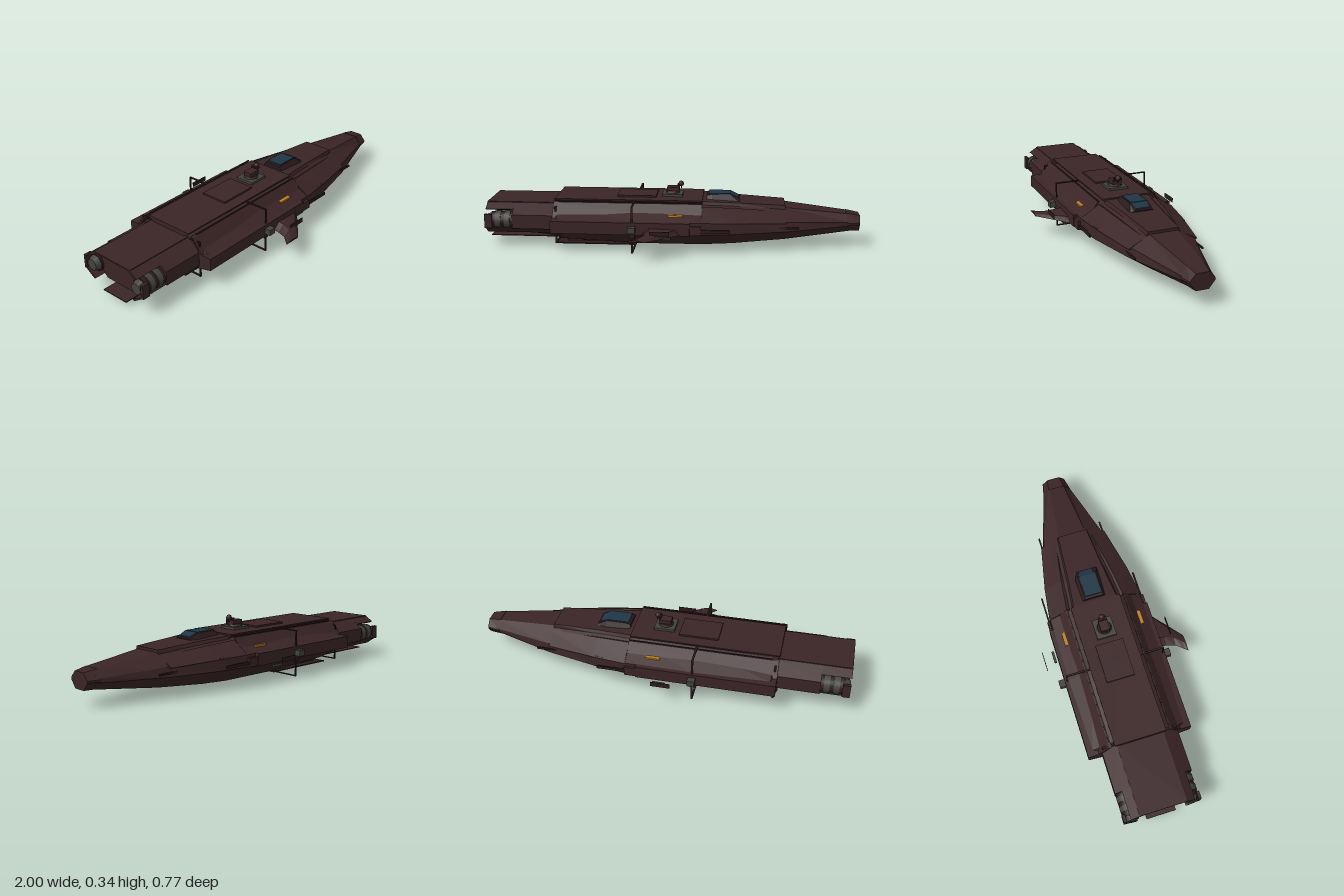
import * as THREE from 'three';

const mat = (name, color) => { const m = new THREE.MeshStandardMaterial({ color }); m.name = name; return m; };

export function createModel() {
  const hullMat = mat('hull brown', 0x3a2426);
  const trimMat = mat('dark trim', 0x2b1b1d);
  const greyMat = mat('machine grey', 0x42423d);
  const glassMat = mat('canopy blue', 0x203645);
  const orangeMat = mat('marker orange', 0xbf801c);
  hullMat.side = THREE.DoubleSide;

  const model = new THREE.Group();
  model.name = 'spacecraft';
  const ship = new THREE.Group();
  ship.name = 'ship';
  ship.position.z = -0.033;
  model.add(ship);

  const add = (name, geo, m, x = 0, y = 0, z = 0) => {
    const mesh = new THREE.Mesh(geo, m);
    mesh.name = name;
    mesh.position.set(x, y, z);
    ship.add(mesh);
    return mesh;
  };
  // box given by its extents
  const box = (name, m, x0, x1, y0, y1, z0, z1) => add(name,
    new THREE.BoxGeometry(x1 - x0, y1 - y0, z1 - z0), m, (x0 + x1) / 2, (y0 + y1) / 2, (z0 + z1) / 2);
  const pair = (name, m, x0, x1, y0, y1, z0, z1) => {
    box(name + 'Left', m, x0, x1, y0, y1, z0, z1);
    box(name + 'Right', m, x0, x1, y0, y1, -z1, -z0);
  };

  // flat-faced skin through sections { x, p: [[y, z], ...] }, x rising, points turning from +y to +z
  const loft = (sections) => {
    const v = [], n = sections[0].p.length;
    const pt = (s, i) => [sections[s].x, ...sections[s].p[i % n]];
    const tri = (a, b, c) => v.push(...a, ...b, ...c);
    for (let s = 0; s < sections.length - 1; s++)
      for (let i = 0; i < n; i++) {
        tri(pt(s, i), pt(s, i + 1), pt(s + 1, i + 1));
        tri(pt(s, i), pt(s + 1, i + 1), pt(s + 1, i));
      }
    const e = sections.length - 1;
    for (let i = 1; i < n - 1; i++) {
      tri(pt(0, 0), pt(0, i + 1), pt(0, i));
      tri(pt(e, 0), pt(e, i), pt(e, i + 1));
    }
    const g = new THREE.BufferGeometry();
    g.setAttribute('position', new THREE.Float32BufferAttribute(v, 3));
    g.computeVertexNormals();
    return g;
  };
  // symmetric section from half widths, top to bottom: [y, halfWidth]
  const sym = (x, ...half) => ({
    x, p: [...half, ...half.slice().reverse().map(([y, w]) => [y, -w])],
  });

  // Main hull: tail, wide body and tapering nose
  add('mainHull', loft([
    sym(-0.96, [0.225, 0.10], [0.18, 0.13], [0.12, 0.13], [0.08, 0.09]),
    sym(-0.63, [0.232, 0.12], [0.175, 0.19], [0.11, 0.19], [0.046, 0.1]),
    sym(-0.6, [0.235, 0.12], [0.175, 0.25], [0.11, 0.25], [0.032, 0.1]),
    sym(-0.2, [0.245, 0.13], [0.175, 0.262], [0.11, 0.262], [0.013, 0.1]),
    sym(0.16, [0.243, 0.12], [0.175, 0.258], [0.112, 0.262], [0.014, 0.1]),
    sym(0.32, [0.238, 0.1], [0.175, 0.235], [0.112, 0.24], [0.022, 0.095]),
    sym(0.6, [0.22, 0.075], [0.165, 0.17], [0.115, 0.18], [0.046, 0.075]),
    sym(0.95, [0.183, 0.042], [0.145, 0.072], [0.125, 0.072], [0.088, 0.035]),
  ]), hullMat);
  add('noseCap', loft([
    sym(0.93, [0.187, 0.045], [0.14, 0.08], [0.13, 0.08], [0.088, 0.04]),
    sym(1.0, [0.175, 0.035], [0.14, 0.065], [0.13, 0.065], [0.09, 0.033]),
  ]), hullMat);

  for (const s of [1, -1]) {
    const side = s > 0 ? 'Left' : 'Right';
    const strip = (pts) => {
      const p = pts.map(([y, z]) => [y, z * s]);
      return s > 0 ? p : p.reverse();
    };
    const prism = (name, x0, x1, pts) =>
      add(name + side, loft([{ x: x0, p: strip(pts) }, { x: x1, p: strip(pts) }]), hullMat);
    // Side armour boxes and sloping shoulder plates
    prism('sideArmour', -0.63, 0.1, [[0.18, 0.2], [0.175, 0.28], [0.11, 0.28], [0.09, 0.2]]);
    prism('shoulderPlate', -0.63, 0.16, [[0.255, 0.155], [0.25, 0.166], [0.175, 0.225], [0.175, 0.21]]);
    // Tail shells, cut open beside the engine bands
    prism('tailShoulder', -0.85, -0.62, [[0.234, 0.1], [0.234, 0.125], [0.185, 0.205], [0.178, 0.19]]);
    prism('tailShoulderEnd', -1, -0.85, [[0.234, 0.1], [0.234, 0.125], [0.207, 0.17], [0.2, 0.16]]);
    prism('tailLowerShell', -1, -0.62, [[0.115, 0.19], [0.115, 0.203], [0.072, 0.14], [0.08, 0.13]]);
    prism('tailSideShell', -0.85, -0.62, [[0.185, 0.19], [0.185, 0.206], [0.11, 0.206], [0.11, 0.19]]);
    prism('tailEndShell', -1, -0.96, [[0.185, 0.19], [0.185, 0.206], [0.11, 0.206], [0.11, 0.19]]);
    // Tapering plates along the forward flanks
    add('flankPlate' + side, loft([
      { x: 0.16, p: strip([[0.238, 0.16], [0.175, 0.262], [0.17, 0.25], [0.225, 0.13]]) },
      { x: 0.34, p: strip([[0.228, 0.14], [0.17, 0.238], [0.165, 0.22], [0.215, 0.11]]) },
      { x: 0.6, p: strip([[0.205, 0.1], [0.16, 0.186], [0.155, 0.17], [0.19, 0.08]]) },
    ]), hullMat);

    // Engines
    const engine = (name, r0, r1, len, m, x) => {
      add(name + side, new THREE.CylinderGeometry(r0, r1, len, 16), m, x, 0.145, s * 0.155).rotation.z = Math.PI / 2;
    };
    engine('engineBody', 0.046, 0.046, 0.34, trimMat, -0.8);
    for (const x of [-0.93, -0.88]) engine('engineBand', 0.05, 0.05, 0.03, greyMat, x);
    engine('engineNozzle', 0.03, 0.042, 0.03, greyMat, -0.982);
  }

  // Deck plates and keel
  add('topDeck', loft([
    sym(-0.63, [0.263, 0.138], [0.256, 0.138], [0.235, 0.1]),
    sym(0.16, [0.263, 0.138], [0.256, 0.138], [0.235, 0.1]),
  ]), hullMat);
  box('deckPanel', hullMat, -0.3, -0.09, 0.262, 0.272, -0.076, 0.076);
  box('tailTopPlate', hullMat, -1, -0.62, 0.23, 0.238, -0.125, 0.125);
  box('tailBottomPlate', hullMat, -1, -0.61, 0.033, 0.038, -0.08, 0.08);
  box('keelPlate', trimMat, -0.63, -0.2, 0.003, 0.009, -0.106, 0.106);
  box('keelSpine', hullMat, -0.58, 0.2, 0.012, 0.03, -0.07, 0.07);
  add('forwardDeck', loft([
    sym(0.16, [0.256, 0.12], [0.235, 0.13]),
    sym(0.35, [0.247, 0.1], [0.228, 0.11]),
    sym(0.6, [0.234, 0.082], [0.205, 0.09]),
  ]), hullMat);

  // Side rails
  pair('sideRail', trimMat, -0.2, 0.31, 0.125, 0.14, 0.262, 0.27);
  pair('flankSkid', hullMat, -0.12, 0.16, 0.112, 0.16, 0.262, 0.276);
  pair('noseRail', trimMat, 0.53, 0.67, 0.13, 0.14, 0.176, 0.184);
  pair('shoulderSeam', trimMat, -0.6, 0.16, 0.251, 0.256, 0.158, 0.163);

  // Rectangular frames around the hull
  const frame = (name, x, w, y0, y1) => {
    const t = 0.005;
    box(name + 'Top', trimMat, x - t, x + t, y1 - t, y1, -w, w);
    box(name + 'Bottom', trimMat, x - t, x + t, y0, y0 + t, -w, w);
    pair(name + 'Post', trimMat, x - t, x + t, y0, y1, w - t, w);
  };
  frame('largeFrame', -0.2, 0.27, 0.008, 0.259);
  frame('smallFrame', -0.615, 0.2, 0.034, 0.232);

  // Canopy
  const canopy = (x0, x1, y0, y1, w0, w1) => loft([
    sym(x0, [y1 - 0.006, w1], [y0, w0]), sym(x0 + 0.03, [y1, w1], [y0, w0]),
    sym(x1 - 0.05, [y1, w1], [y0, w0]), sym(x1, [y0 + 0.012, w1], [y0, w0]),
  ]);
  add('canopyFrame', canopy(0.18, 0.36, 0.24, 0.279, 0.072, 0.05), trimMat);
  box('canopyGlass', glassMat, 0.192, 0.31, 0.276, 0.283, -0.044, 0.044);
  add('windscreen', loft([
    sym(0.305, [0.283, 0.044], [0.25, 0.048]), sym(0.352, [0.262, 0.036], [0.25, 0.044]),
  ]), glassMat);

  // Dorsal turret
  box('turretBase', greyMat, -0.06, 0.05, 0.262, 0.276, -0.053, 0.053);
  add('turretRing', new THREE.CylinderGeometry(0.034, 0.04, 0.014, 12), hullMat, -0.005, 0.282, 0);
  box('turretBody', hullMat, -0.035, 0.03, 0.285, 0.309, -0.024, 0.024);
  box('turretYoke', trimMat, 0.02, 0.04, 0.315, 0.323, -0.022, 0.022);
  add('sensorBall', new THREE.SphereGeometry(0.015, 12, 8), hullMat, 0.04, 0.325, 0);
  add('sensorMast', new THREE.CylinderGeometry(0.003, 0.003, 0.025, 6), trimMat, 0.04, 0.312, 0);

  // Markers and outboard sensor pods
  pair('marker', orangeMat, -0.018, 0.058, 0.195, 0.204, 0.205, 0.223);
  pair('sensorPod', greyMat, -0.22, -0.18, 0.125, 0.157, 0.28, 0.312);
  pair('frameBracket', trimMat, -0.215, -0.185, 0.09, 0.15, 0.264, 0.272);
  pair('lamp', greyMat, -0.06, 0.005, 0.094, 0.107, 0.288, 0.301);
  pair('sensorVane', trimMat, -0.1, 0, 0.125, 0.151, 0.349, 0.352);

  // Swept fin on the left side: [span, front x, back x, top y]
  const fin = [
    [0.262, 0.07, -0.145, 0.15], [0.31, 0.01, -0.15, 0.143], [0.36, -0.05, -0.165, 0.134],
    [0.4, -0.1, -0.2, 0.127], [0.417, -0.12, -0.215, 0.125],
  ];
  add('sweptFin', loft(fin.map(([span, front, back, top]) => ({
    x: span, p: [[top, -back - 0.04], [0.114, -back], [0.112, -front], [top - 0.006, 0.02 - front]],
  }))), hullMat).rotation.y = -Math.PI / 2;

  return model;
}
